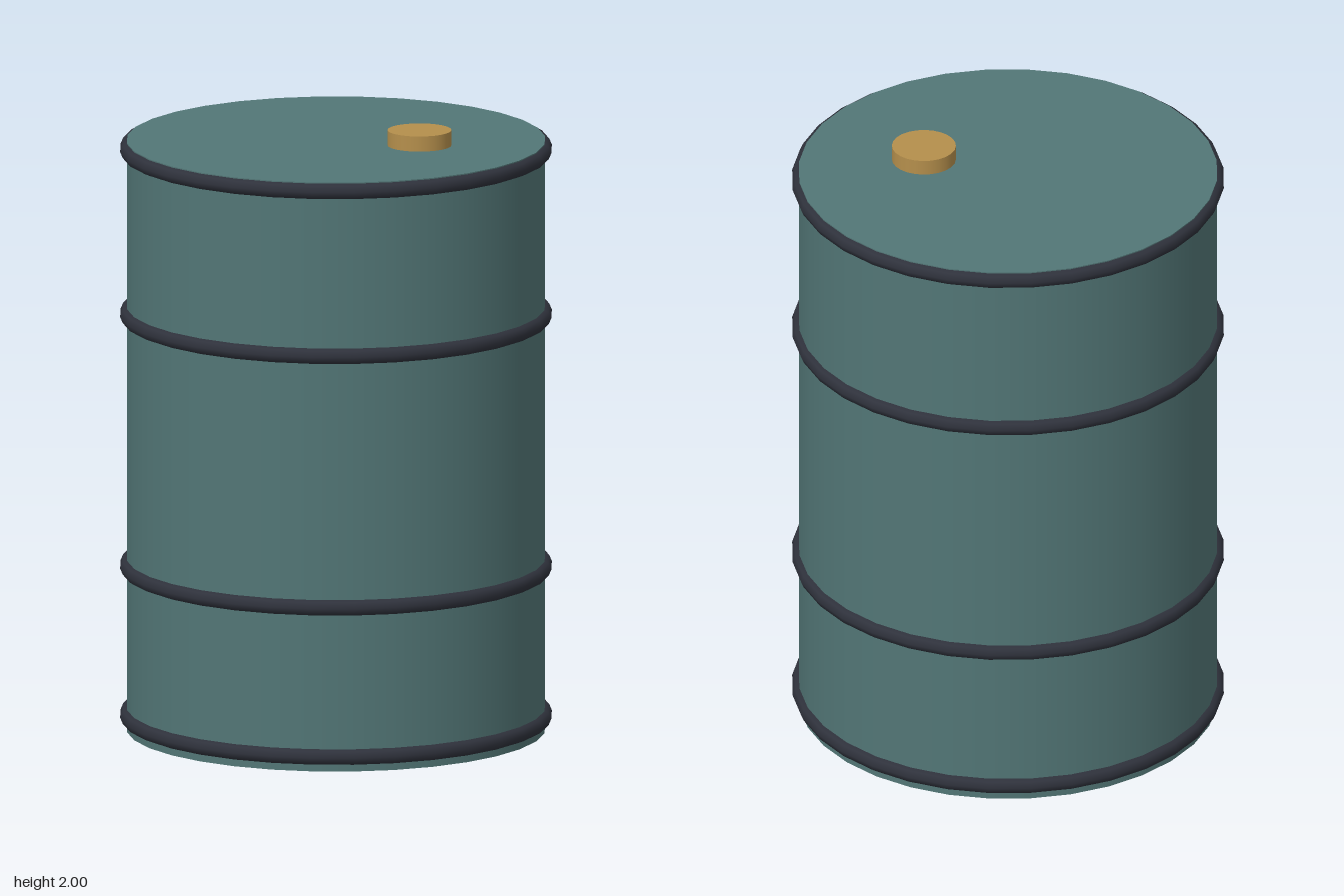
import * as THREE from 'three';

export function createModel() {
  const group = new THREE.Group();
  const paint = new THREE.MeshStandardMaterial({ color: 0x527676 });
  paint.name = 'teal paint';
  const steel = new THREE.MeshStandardMaterial({ color: 0x2f323c });
  steel.name = 'dark steel';
  const brass = new THREE.MeshStandardMaterial({ color: 0xb58f4c });
  brass.name = 'brass';

  const add = (name, geometry, material, x, y) => {
    const mesh = new THREE.Mesh(geometry, material);
    mesh.name = name;
    mesh.position.set(x, y, 0);
    group.add(mesh);
  };

  // Closed drum shell
  const height = 1.95;
  add('drumBody', new THREE.CylinderGeometry(0.68, 0.68, height, 32), paint, 0, height / 2);

  // Rims and rolling hoops
  const hoop = new THREE.TorusGeometry(0.674, 0.028, 8, 32).rotateX(Math.PI / 2);
  const hoops = { bottomRim: 0.048, lowerHoop: 0.542, upperHoop: 1.375, topRim: 1.921 };
  for (const [name, y] of Object.entries(hoops)) add(name, hoop, steel, 0, y);

  // Filler cap on the lid
  add('fillerCap', new THREE.CylinderGeometry(0.104, 0.104, 0.07, 24), brass, 0.284, 1.965);

  return group;
}
